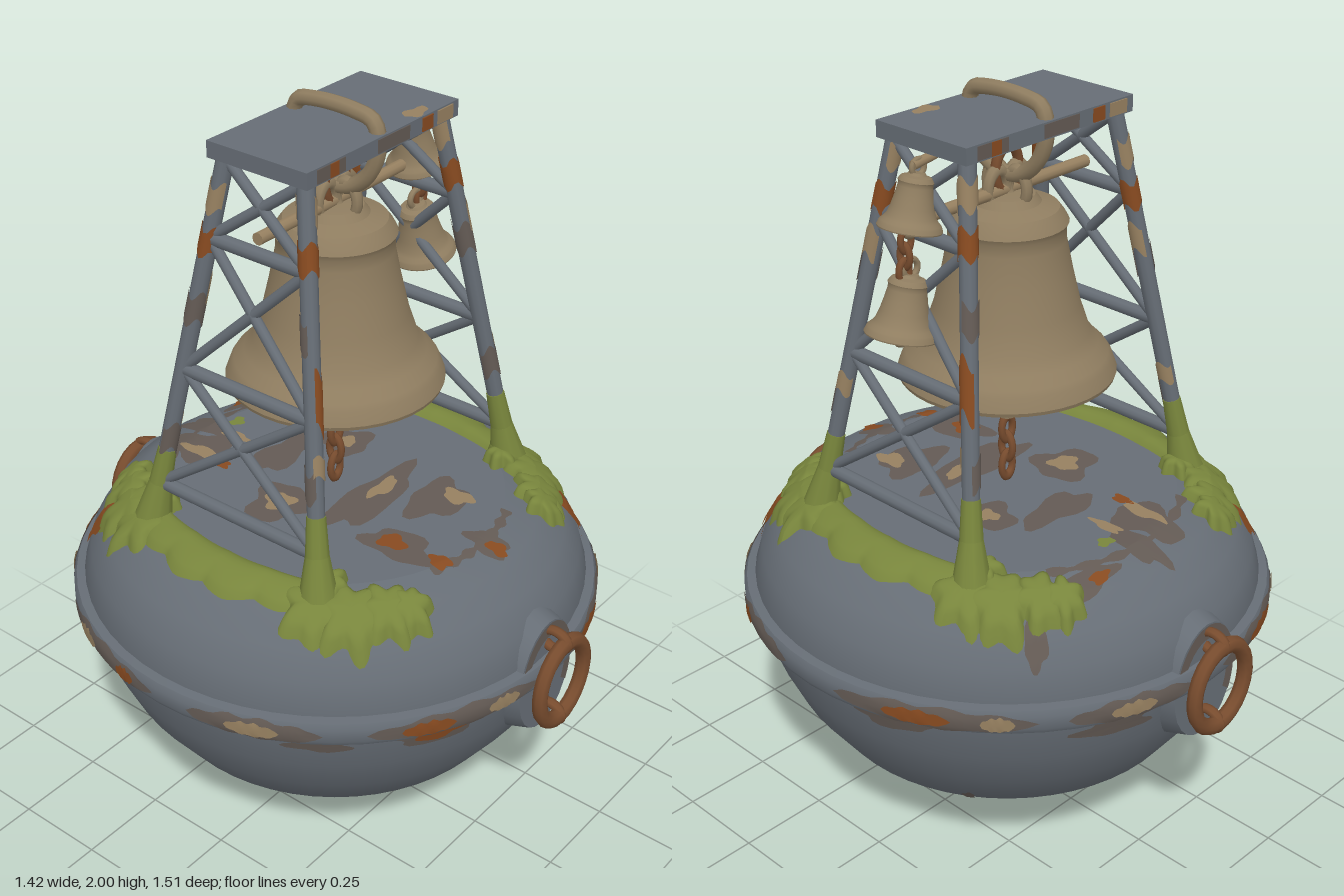
import * as THREE from 'three';
import { toCreasedNormals } from 'three/addons/utils/BufferGeometryUtils.js';

const V = (x, y, z) => new THREE.Vector3(x, y, z);
const mat = (name, color) => Object.assign(new THREE.MeshStandardMaterial({ color, side: THREE.DoubleSide }), { name });

// Hull profile, radius and height, from keel tip to deck
const HULL = [[0.001, 0], [0.02, 0.003], [0.045, 0.04], [0.085, 0.077], [0.2, 0.1], [0.3, 0.13], [0.4, 0.183],
  [0.5, 0.265], [0.59, 0.39], [0.64, 0.5], [0.67, 0.62], [0.677, 0.7], [0.655, 0.775], [0.612, 0.845],
  [0.54, 0.895], [0.45, 0.922], [0.001, 0.924]];

function lerpTable(pts, a, b, v) {
  for (let i = 0; i < pts.length - 1; i++) {
    const p = pts[i], q = pts[i + 1];
    if ((v - p[a]) * (v - q[a]) <= 0) return p[b] + (q[b] - p[b]) * (v - p[a]) / (q[a] - p[a] || 1);
  }
  return pts[pts.length - 1][b];
}
const deckY = (r) => lerpTable(HULL.slice(11), 0, 1, Math.max(0.002, Math.min(r, 0.676)));
const sideR = (y) => lerpTable(HULL, 1, 0, y);

// Surface from a rule over a u-v grid
function grid(nu, nv, fn) {
  const pos = [], idx = [];
  for (let i = 0; i <= nu; i++) for (let j = 0; j <= nv; j++) pos.push(...fn(i / nu, j / nv).toArray());
  for (let i = 0; i < nu; i++) for (let j = 0; j < nv; j++) {
    const a = i * (nv + 1) + j, b = a + nv + 1;
    idx.push(a, a + 1, b, b, a + 1, b + 1);
  }
  const g = new THREE.BufferGeometry();
  g.setAttribute('position', new THREE.Float32BufferAttribute(pos, 3));
  g.setIndex(idx);
  g.computeVertexNormals();
  return g;
}

export function createModel() {
  const root = new THREE.Group();
  root.name = 'bellBuoy';
  const steel = mat('steelGrey', 0x666d75), bronze = mat('bellBronze', 0x8f7d60), moss = mat('mossGreen', 0x78853c),
    rust = mat('rustOrange', 0x874a20), chain = mat('chainBrown', 0x784c2e), grime = mat('grimeBrown', 0x635a54),
    tan = mat('bareTan', 0x968060);

  const add = (name, geo, m, parent = root) => {
    const mesh = new THREE.Mesh(geo, m);
    mesh.name = name;
    parent.add(mesh);
    return mesh;
  };
  const lathe = (pts, seg, crease = 0.6) =>
    toCreasedNormals(new THREE.LatheGeometry(pts.map(([r, y]) => new THREE.Vector2(r, y)), seg), crease);
  const orient = (mesh, a, b) => {
    mesh.position.copy(a).lerp(b, 0.5);
    mesh.quaternion.setFromUnitVectors(V(0, 1, 0), b.clone().sub(a).normalize());
  };
  const strut = (name, a, b, r, m, rBottom = r) =>
    orient(add(name, new THREE.CylinderGeometry(r, rBottom, a.distanceTo(b), 10), m), a, b);
  const ring = (name, r, tube, m, pos, scale, turn = 0, parent = root) => {
    const t = add(name, new THREE.TorusGeometry(r, tube, 8, 24), m, parent);
    t.position.copy(pos);
    t.scale.set(...scale);
    t.rotation.y = turn;
  };

  // Hull, flat deck and rim
  add('hull', lathe(HULL.slice(0, -1), 56, 0.5), steel);
  add('deck', lathe(HULL.slice(-2), 56), steel);
  add('rim', lathe([[0.665, 0.62], [0.7, 0.625], [0.708, 0.64], [0.708, 0.675], [0.7, 0.69], [0.665, 0.695]], 56), steel);
  // Rim stains: start angle, length, colour
  [[0.1, 0.75, grime], [0.16, 0.28, rust], [0.6, 0.14, tan], [0.95, 0.5, grime], [1.05, 0.1, rust], [1.7, 0.75, grime],
    [1.9, 0.25, rust], [2.25, 0.12, tan], [2.55, 0.5, grime], [2.7, 0.18, tan], [3.2, 0.7, grime], [3.4, 0.25, rust],
    [3.75, 0.1, tan], [4.05, 0.65, grime], [4.2, 0.15, tan], [4.5, 0.1, rust], [4.85, 0.5, grime], [5.0, 0.2, tan],
    [5.5, 0.7, grime], [5.62, 0.2, rust], [5.95, 0.14, tan]].forEach(([start, len, m]) => {
    const d = m === grime ? 0.002 : 0.005, h = m === grime ? 0.06 : 0.04;
    add('rimStain', grid(18, 4, (u, v) => {
      const a = start + u * len, taper = Math.sqrt(Math.sin(u * Math.PI) + 1e-6);
      const y = 0.6575 + (v - 0.5) * h * taper * (1 + 0.15 * Math.sin(u * 25));
      const r = 0.708 + d - Math.max(0, Math.abs(y - 0.6575) - 0.0175) * 0.53;
      return V(Math.sin(a) * r, y, Math.cos(a) * r);
    }), m);
  });

  // Blobs draped over the deck: x, z, half width, half depth
  const wobble = (a, k) => 1 + 0.17 * Math.sin(3 * a + k) + 0.12 * Math.sin(5 * a + 2.3 * k);
  const lift = (m) => (m === grime ? 0.004 : 0.008);
  [[-0.1, -0.4, 0.07, 0.1, grime], [-0.12, -0.37, 0.022, 0.07, tan], [0.0, -0.45, 0.04, 0.1, grime],
    [0.0, -0.35, 0.018, 0.05, tan], [0.2, -0.47, 0.09, 0.035, grime], [0.17, -0.48, 0.03, 0.018, rust],
    [-0.42, -0.46, 0.035, 0.035, rust], [-0.13, -0.29, 0.018, 0.03, rust], [-0.13, 0.31, 0.06, 0.1, grime],
    [-0.13, 0.29, 0.03, 0.04, rust], [0.1, 0.26, 0.1, 0.07, grime], [0.14, 0.3, 0.03, 0.045, tan],
    [-0.12, 0.43, 0.025, 0.03, rust], [0.03, 0.47, 0.04, 0.06, grime], [0.03, 0.5, 0.022, 0.03, rust],
    [0, 0.12, 0.18, 0.06, grime], [0.05, 0.12, 0.06, 0.022, tan], [-0.17, -0.05, 0.09, 0.08, grime],
    [-0.17, -0.05, 0.04, 0.04, tan], [0.17, -0.1, 0.07, 0.07, grime], [0.17, -0.1, 0.025, 0.03, tan],
    [0.02, -0.2, 0.12, 0.05, grime], [0.06, -0.4, 0.025, 0.018, moss], [0.42, 0.47, 0.03, 0.035, rust]]
    .forEach(([x, z, w, d, m], i) => add('deckStain', grid(26, 5, (u, v) => {
      const a = u * Math.PI * 2, k = v * wobble(a, i), px = x + Math.cos(a) * w * k, pz = z + Math.sin(a) * d * k;
      return V(px, deckY(Math.hypot(px, pz)) + lift(m), pz);
    }), m));
  // Grime line along the deck edge, back and front
  for (const [start, len] of [[2.55, 1.2], [-0.35, 0.75]]) add('deckEdgeStain', grid(30, 3, (u, v) => {
    const a = start + u * len, r = 0.462 + (v - 0.5) * 0.022 * (1 + 0.5 * Math.sin(u * 40));
    return V(Math.sin(a) * r, deckY(r) + 0.003, Math.cos(a) * r);
  }), grime);

  // Stains down the hull side: angle from front, height, half width, half height
  [[-0.5, 0.6, 0.13, 0.04, grime], [-0.5, 0.6, 0.07, 0.025, rust], [0.25, 0.42, 0.025, 0.06, grime],
    [0.24, 0.42, 0.012, 0.03, rust], [-0.95, 0.59, 0.08, 0.025, grime], [0.45, 0.6, 0.08, 0.025, grime],
    [0.7, 0.82, 0.03, 0.045, rust], [2.45, 0.82, 0.03, 0.045, grime], [3.5, 0.59, 0.12, 0.035, grime],
    [3.5, 0.59, 0.05, 0.022, rust], [2.75, 0.58, 0.1, 0.03, grime], [2.15, 0.28, 0.02, 0.02, grime],
    [-2.4, 0.82, 0.03, 0.045, rust], [1.9, 0.59, 0.1, 0.025, grime]]
    .forEach(([t, y, w, h, m], i) => add('hullStain', grid(24, 4, (u, v) => {
      const a = u * Math.PI * 2, k = v * wobble(a, i), py = y + Math.sin(a) * h * k;
      const pt = t + Math.cos(a) * w * k / 0.65, r = sideR(py) + lift(m);
      return V(Math.sin(pt) * r, py, Math.cos(pt) * r);
    }), m));

  // Mooring pads with links and ring, front and back
  for (const s of [1, -1]) {
    const g = new THREE.Group();
    g.name = s > 0 ? 'frontMooring' : 'backMooring';
    g.rotation.y = s > 0 ? 0 : Math.PI;
    root.add(g);
    const pad = add('pad', toCreasedNormals(new THREE.CylinderGeometry(0.115, 0.155, 0.16, 24), 0.6), steel, g);
    pad.rotation.x = Math.PI / 2;
    pad.scale.z = 1.42;
    pad.position.set(0, 0.625, 0.605);
    const stain = add('padStain', new THREE.RingGeometry(0.085, 0.113, 20, 1, -0.5, 3.6), grime, g);
    stain.scale.y = 1.42;
    stain.position.set(0, 0.625, 0.688);
    for (const y of [0.745, 0.515]) ring('mooringLink', 0.036, 0.015, chain, V(0, y, 0.705), [1, 0.75, 1], Math.PI / 2, g);
    ring('mooringRing', 0.1, 0.02, chain, V(0, 0.63, 0.735), [1, 1.15, 1], 0, g);
  }

  // Tower legs, side bracing and top plate
  const leg = (sx, sz, y) => {
    const t = (y - 0.92) / 1;
    return V(sx * (0.405 - 0.155 * t), y, sz * (0.275 - 0.158 * t));
  };
  // Leg stains wrap part way round: bottom, top, start angle, wrap
  const legStains = [[1.68, 1.77, 0, 6.3, rust], [1.3, 1.48, 0.4, 3.4, rust], [1.5, 1.6, 2.6, 3.5, grime],
    [1.79, 1.88, 1, 4, tan], [1.56, 1.66, 5.4, 2.6, tan], [1.14, 1.24, 3.5, 3, grime], [1.2, 1.27, 0, 2, tan]];
  for (const sx of [1, -1]) {
    for (const sz of [1, -1]) {
      strut('leg', leg(sx, sz, 0.9), leg(sx, sz, 1.92), 0.022, steel);
      legStains.forEach(([a, b, from, wrap, m], i) => {
        if (sx * sz > 0 ? i === 1 : i === 4) return;
        const o = sx * 0.012 + sz * 0.02, lo = leg(sx, sz, a + o), hi = leg(sx, sz, b + o), h = lo.distanceTo(hi);
        orient(add('legStain', grid(14, 4, (u, v) => {
          const t = from + sx * sz + u * wrap, y = (v - 0.5) * h * (0.72 + 0.28 * Math.sin(t * 3 + v * 3));
          return V(Math.sin(t) * 0.0245, y, Math.cos(t) * 0.0245);
        }), m), lo, hi);
      });
      // Moss climbing the foot, and lobed leaves spreading over the deck
      strut('legMoss', leg(sx, sz, 0.91), leg(sx, sz, 1.02), 0.03, moss, 0.05);
      strut('legMossTip', leg(sx, sz, 1.0), leg(sx, sz, 1.12), 0.024, moss, 0.031);
      [[0.44, 0.29, 0.085], [0.4, 0.37, 0.085], [0.33, 0.43, 0.07], [0.29, 0.47, 0.055], [0.37, 0.28, 0.05]]
        .forEach(([x, z, r], i) => add('mossLeaf', grid(48, 6, (u, v) => {
          const a = u * Math.PI * 2, k = r * v * (1 + 0.16 * Math.sin(6 * a + i * 2 + sx) + 0.08 * Math.sin(4 * a + sz));
          const px = sx * x + Math.cos(a) * k, pz = sz * z + Math.sin(a) * k;
          return V(px, deckY(Math.hypot(px, pz)) - 0.006 + (0.034 + i * 0.003) * Math.sqrt(1 - v ** 4), pz);
        }), moss));
    }
    for (const y of [1.02, 1.35, 1.7]) strut('crossbar', leg(sx, 1, y), leg(sx, -1, y), 0.018, steel);
    for (const [a, b] of [[1.02, 1.35], [1.35, 1.7], [1.7, 1.9]])
      for (const sz of [1, -1]) strut('brace', leg(sx, sz, a), leg(sx, -sz, b), 0.014, steel);

    // Moss mat along the shoulder of the deck, scalloped outside
    add('mossMat', grid(72, 10, (u, v) => {
      const a = (u - 0.5) * 1.5, e = Math.abs(u - 0.5) * 2;
      const inner = 0.405 / Math.cos(a * 0.75), outer = 0.528 + 0.024 * Math.abs(Math.sin(a * 11)) - 0.01 * e;
      const r = inner + v * (outer - inner);
      return V(sx * Math.cos(a) * r, deckY(r) - 0.006 + 0.028 * Math.sqrt(Math.sin(Math.PI * v) + 1e-6), Math.sin(a) * r);
    }), moss);
  }
  add('topPlate', new THREE.BoxGeometry(0.57, 0.042, 0.3), steel).position.set(0, 1.923, 0);
  [[-0.2, 0.1, grime], [-0.19, 0.03, rust], [0.03, 0.12, grime], [0.16, 0.04, rust], [0.23, 0.06, tan]].forEach(([x, w, m]) => {
    for (const s of [1, -1])
      add('plateStain', new THREE.BoxGeometry(w, 0.034, m === grime ? 0.004 : 0.007), m).position.set(x * s, 1.923, s * 0.15);
  });
  add('plateTopStain', grid(24, 2, (u, v) => {
    const a = u * Math.PI * 2, k = v * wobble(a, 2);
    return V(0.15 + Math.cos(a) * 0.04 * k, 1.9455, 0.122 + Math.sin(a) * 0.022 * k);
  }), tan);

  // Hanging bar, strap through the plate and crown loops
  strut('hangingBar', V(-0.285, 1.74, 0), V(0.29, 1.74, 0), 0.016, tan);
  const strapPath = new THREE.CatmullRomCurve3([V(0, 1.98, -0.06), V(0, 1.965, -0.115), V(0, 1.9, -0.128), V(0, 1.83, -0.1),
    V(0, 1.785, -0.04), V(0, 1.785, 0.04), V(0, 1.83, 0.1), V(0, 1.9, 0.128), V(0, 1.965, 0.115), V(0, 1.98, 0.06)], true);
  add('strap', new THREE.TubeGeometry(strapPath, 48, 0.02, 8, true), bronze);
  ring('hangerLink', 0.05, 0.014, chain, V(0, 1.79, 0), [0.8, 1.2, 1], 0);
  for (const s of [1, -1]) {
    ring('crownLoop', 0.04, 0.016, bronze, V(s * 0.035, 1.75, 0), [0.8, 1.1, 1], 0);
    ring('crownLoop', 0.04, 0.016, bronze, V(0, 1.75, s * 0.035), [0.8, 1.1, 1], Math.PI / 2);
  }

  // Bells
  const BELL = [[0.001, 0.48], [0.07, 0.475], [0.085, 0.455], [0.13, 0.442], [0.143, 0.425], [0.154, 0.405], [0.147, 0.39],
    [0.148, 0.36], [0.164, 0.28], [0.185, 0.19], [0.21, 0.115], [0.232, 0.085], [0.258, 0.06], [0.268, 0.045],
    [0.281, 0.01], [0.278, 0], [0.25, 0], [0.2, 0.09], [0.15, 0.25], [0.125, 0.4], [0.001, 0.42]];
  const bellGeo = lathe(BELL.reverse(), 40);
  add('mainBell', bellGeo, bronze).position.y = 1.255;
  const smallBell = (name, x, y, k, tilt) => {
    const g = new THREE.Group();
    g.name = name;
    g.position.set(x, y, 0);
    g.rotation.z = tilt;
    g.scale.setScalar(k);
    root.add(g);
    add('bellBody', bellGeo, bronze, g);
    ring('bellLoop', 0.07, 0.025, bronze, V(0, 0.52, 0), [1, 1, 1], 0, g);
    add('bellClapper', new THREE.SphereGeometry(0.07, 10, 8), bronze, g).position.y = -0.02;
  };
  smallBell('upperSmallBell', 0.325, 1.725, 0.28, 0.22);
  smallBell('lowerSmallBell', 0.362, 1.465, 0.32, 0.22);
  strut('smallBellArm', V(0.24, 1.885, 0), V(0.31, 1.875, 0), 0.012, tan);
  for (let i = 0; i < 3; i++)
    ring('smallChainLink', 0.021, 0.009, chain, V(0.338 + 0.004 * i, 1.7 - i * 0.038, 0), [0.8, 1.25, 1], i % 2 * Math.PI / 2);

  // Clapper and its chain
  strut('clapperRod', V(0, 1.22, 0), V(0, 1.66, 0), 0.018, bronze);
  add('clapper', lathe([[0.001, 1.115], [0.022, 1.12], [0.025, 1.155], [0.042, 1.18], [0.042, 1.205], [0.03, 1.225],
    [0.035, 1.25], [0.018, 1.29], [0.001, 1.29]], 16), bronze);
  for (let i = 0; i < 3; i++)
    ring('clapperChainLink', 0.022, 0.01, chain, V(0, 1.085 - i * 0.055, 0), [0.9, 1.5, 1], i % 2 * Math.PI / 2);

  return root;
}
